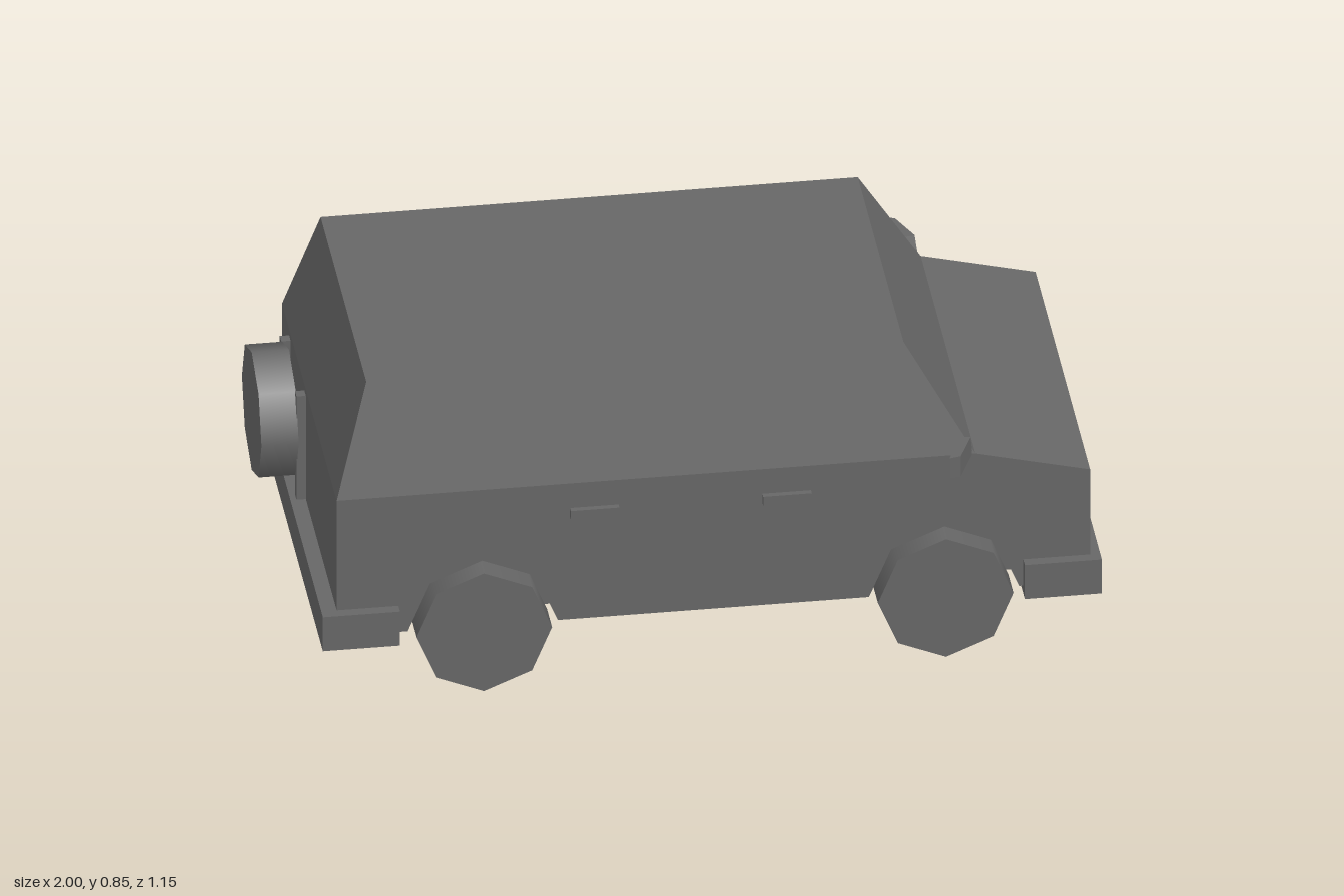
import * as THREE from 'three';

const material = new THREE.MeshStandardMaterial({ color: 0x666666 });
const WHEEL_R = 0.168, ARCH_R = 0.186, FLOOR = 0.17;
const AXLE_X = [-0.526, 0.614];

// Faceted half-octagon over a wheel, from rear to front
const archPoints = (ax) => [4, 3, 2, 1, 0].map((k) => {
  const a = (k * Math.PI) / 4;
  return [ax + ARCH_R * Math.cos(a), FLOOR + ARCH_R * Math.sin(a)];
});

// Side profile extruded across the car, centred on z = 0
const acrossCar = (points, width) => {
  const shape = new THREE.Shape(points.map(([x, y]) => new THREE.Vector2(x, y)));
  return new THREE.ExtrudeGeometry(shape, { depth: width, bevelEnabled: false })
    .translate(0, 0, -width / 2);
};

export function createModel() {
  const car = new THREE.Group();
  car.name = 'offRoadCar';

  const add = (name, geometry, x = 0, y = 0, z = 0) => {
    const mesh = new THREE.Mesh(geometry, material);
    mesh.name = name;
    mesh.position.set(x, y, z);
    car.add(mesh);
    return mesh;
  };
  // Box given by its extents along each axis
  const box = (name, x0, x1, y0, y1, z0, z1) =>
    add(name, new THREE.BoxGeometry(x1 - x0, y1 - y0, z1 - z0),
      (x0 + x1) / 2, (y0 + y1) / 2, (z0 + z1) / 2);
  // Box whose corners are moved by a rule on the signs of x, y and z
  const shapedBox = (name, rule) => {
    const g = new THREE.BoxGeometry(2, 2, 2);
    const p = g.attributes.position;
    for (let i = 0; i < p.count; i++) p.setXYZ(i, ...rule(p.getX(i), p.getY(i), p.getZ(i)));
    g.computeVertexNormals();
    return add(name, g);
  };

  // Lower body with wheel arches
  add('body', acrossCar([
    [-0.887, FLOOR], ...AXLE_X.flatMap(archPoints), [0.975, FLOOR],
    [0.975, 0.488], [0.69, 0.558], [-0.887, 0.558],
  ], 0.94));

  // Cabin tapering to the roof
  shapedBox('cabin', (x, y, z) => y > 0
    ? [x > 0 ? 0.524 : -0.803, 0.845, z * 0.393]
    : [x > 0 ? 0.69 : -0.887, 0.558, z * 0.47]);

  // Bumpers
  box('frontBumper', 0.81, 1, 0.148, 0.245, -0.498, 0.498);
  box('rearBumper', -0.925, -0.735, 0.148, 0.245, -0.498, 0.498);

  for (const ax of AXLE_X) {
    // Floor between the wheel wells
    add('wheelWellFloor', acrossCar(archPoints(ax), 0.78));
    // Axle and wheels
    add('axle', new THREE.CylinderGeometry(0.045, 0.045, 0.84, 8), ax, WHEEL_R, 0)
      .rotation.x = Math.PI / 2;
    for (const s of [-1, 1]) {
      add('wheel', new THREE.CylinderGeometry(WHEEL_R, WHEEL_R, 0.088, 8), ax, WHEEL_R, s * 0.454)
        .rotation.x = Math.PI / 2;
    }
  }

  // Spare wheel on two upright brackets
  add('spareWheel', new THREE.CylinderGeometry(WHEEL_R, WHEEL_R, 0.092, 8), -0.954, 0.42, -0.204)
    .rotation.z = Math.PI / 2;
  for (const z of [-0.348, -0.086]) box('spareWheelBracket', -0.91, -0.88, 0.245, 0.54, z, z + 0.026);

  // Door handles and swept-back mirrors on both sides
  for (const s of [-1, 1]) {
    for (const x of [-0.31, 0.165]) {
      box('doorHandle', x, x + 0.12, 0.463, 0.488, s * 0.475 - 0.01, s * 0.475 + 0.01);
    }
    shapedBox('mirror', (x, y, z) => {
      const outer = z * s > 0;
      const across = outer ? 0.574 : y > 0 ? 0.482 : 0.465;
      const along = 0.612 + (0.574 - across) * 0.4 + (x > 0 ? 0.028 : 0);
      const skew = x > 0 ? (outer ? -0.006 : 0) : (outer ? 0 : -0.006);
      return [along, y > 0 ? 0.613 : 0.555, s * (across + skew)];
    });
  }
  return car;
}
